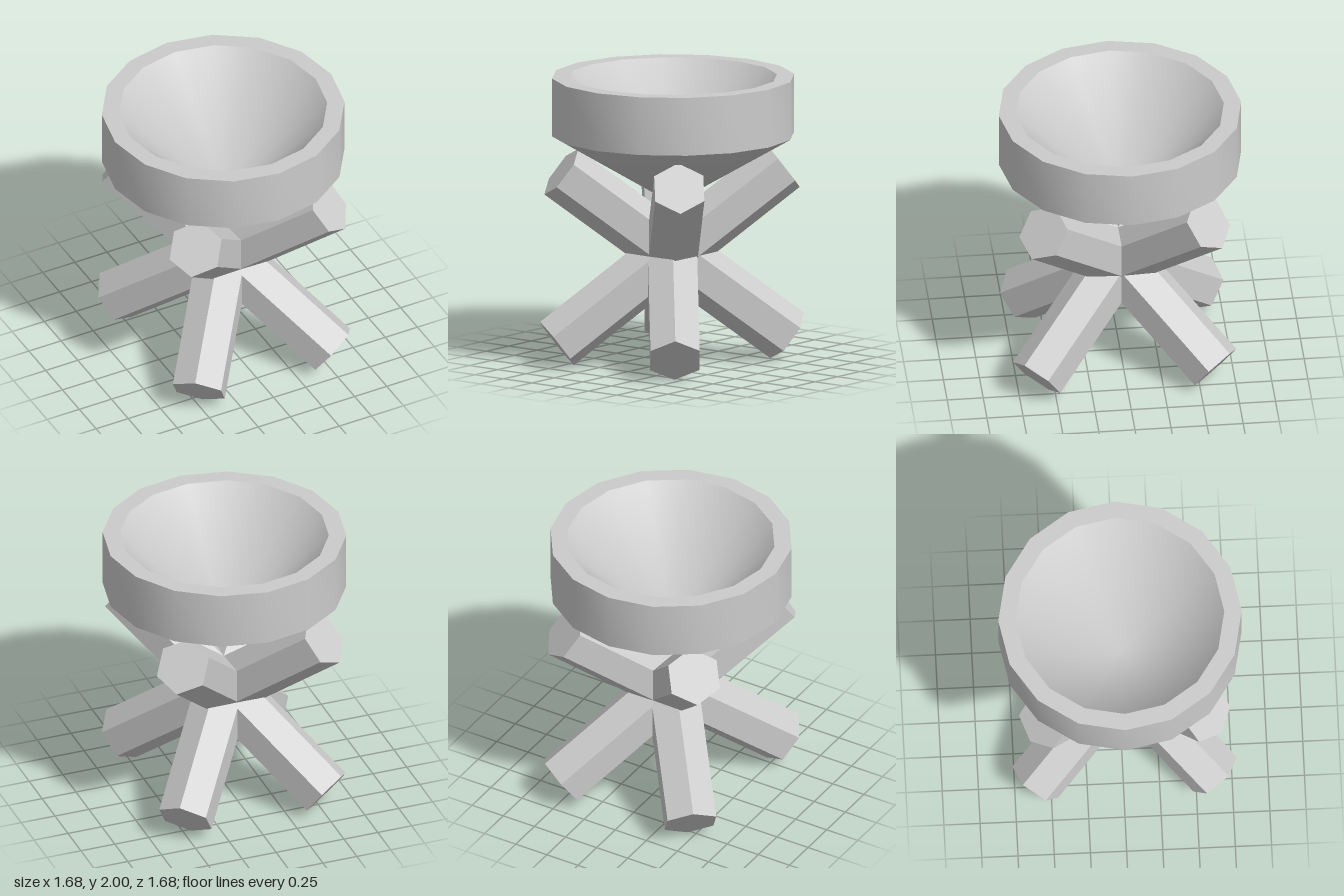
import * as THREE from 'three';
import { mergeVertices } from 'three/addons/utils/BufferGeometryUtils.js';

const SIDES = 16;
const HUB = new THREE.Vector3(0, 0.768, 0.0125);

function createBowl() {
  const bowl = new THREE.Group();
  bowl.name = 'bowl';
  const material = new THREE.MeshStandardMaterial({ color: 0xcccccc });
  // Separate bands keep the rims crisp; welding makes each band smooth, tips included
  const band = (name, profile) => {
    const points = profile.map(([r, y]) => new THREE.Vector2(r, y));
    const lathe = new THREE.LatheGeometry(points, SIDES);
    lathe.deleteAttribute('normal');
    lathe.deleteAttribute('uv');
    const geometry = mergeVertices(lathe, 1e-4);
    geometry.computeVertexNormals();
    const mesh = new THREE.Mesh(geometry, material);
    mesh.name = name;
    bowl.add(mesh);
  };
  band('bowlUnderside', [[0, 1.105], [0.84, 1.595]]);
  band('bowlWall', [[0.84, 1.595], [0.84, 2]]);
  band('bowlRim', [[0.84, 2], [0.72, 2]]);
  band('bowlHollow', [[0.72, 2], [0, 1.28]]);
  return bowl;
}

// Hexagonal bar from the hub to an end point, one edge turned upward
function createBar(name, end, material) {
  const axis = end.clone().sub(HUB);
  const length = axis.length();
  axis.normalize();
  const up = new THREE.Vector3(0, 1, 0).addScaledVector(axis, -axis.y).normalize();
  const side = axis.clone().cross(up);
  const geometry = new THREE.CylinderGeometry(0.196, 0.196, length, 6);
  geometry.translate(0, length / 2, 0);
  geometry.applyMatrix4(new THREE.Matrix4().makeBasis(side, axis, up).setPosition(HUB));
  const bar = new THREE.Mesh(geometry, material);
  bar.name = name;
  return bar;
}

export function createModel() {
  const model = new THREE.Group();
  model.name = 'bowlOnCrossedStand';
  model.add(createBowl());

  const stand = new THREE.Group();
  stand.name = 'stand';
  const material = new THREE.MeshStandardMaterial({ color: 0xcccccc, flatShading: true });
  // Four legs below the hub and four supporting arms above it
  for (const [x, sideName] of [[0.52, 'Left'], [-0.52, 'Right']]) {
    for (const [s, endName] of [[1, 'front'], [-1, 'back']]) {
      const leg = new THREE.Vector3(x, 0.157, HUB.z + s * 0.62);
      const arm = new THREE.Vector3(x, 1.355, HUB.z + s * 0.572);
      stand.add(createBar(endName + sideName + 'Leg', leg, material));
      stand.add(createBar(endName + sideName + 'Arm', arm, material));
    }
  }
  model.add(stand);
  return model;
}
